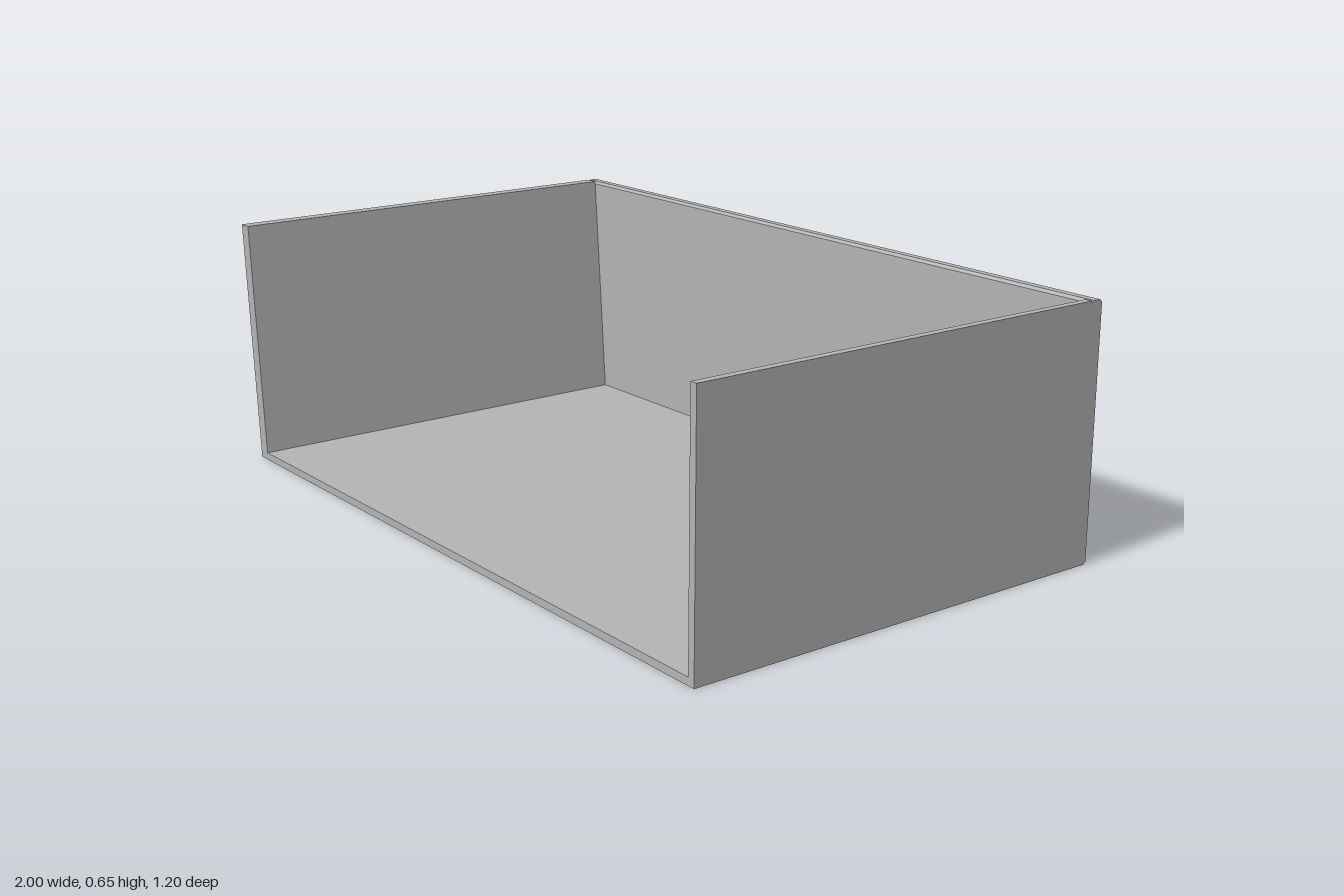
import * as THREE from 'three';

const H = 0.655, FRONT = 0.6, BACK = -0.6, BACK_T = 0.035, FLOOR_T = 0.02, BEVEL = 0.007;

// x of the leaning right wall's outer face at height y
const leanX = (y) => -0.95 - 0.05 * (y / H);

function extrude(points, depth) {
  const shape = new THREE.Shape(points.map(([x, y]) => new THREE.Vector2(x, y)));
  return new THREE.ExtrudeGeometry(shape, { depth, bevelEnabled: false });
}

export function createModel() {
  const group = new THREE.Group();
  const grey = new THREE.MeshStandardMaterial({ color: 0xb3b3b3 });
  grey.name = 'plainGrey';

  const add = (name, geometry) => {
    const mesh = new THREE.Mesh(geometry, grey);
    mesh.name = name;
    group.add(mesh);
  };

  // Panels running front to back, butted against the back wall
  const zStart = BACK + BACK_T;
  const panel = (name, points) =>
    add(name, extrude(points, FRONT - zStart).translate(0, 0, zStart));

  const t = 0.036;
  panel('rightWall', [
    [leanX(0), 0], [leanX(0) + t, 0], [leanX(H) + t, H], [leanX(H), H],
  ]);
  panel('leftWall', [[0.98, 0], [1, 0], [1, H], [0.98, H]]);
  panel('floor', [
    [leanX(0) + t, 0], [0.98, 0], [0.98, FLOOR_T], [leanX(FLOOR_T) + t, FLOOR_T],
  ]);

  // Back wall: bevelled profile extruded across, one end sheared to the lean
  const a = -BACK - BACK_T, b = -BACK, c = BEVEL;
  const back = extrude([
    [a, 0], [b - c, 0], [b, c], [b, H - c],
    [b - c, H], [a + c, H], [a, H - c],
  ], 2).rotateY(Math.PI / 2).translate(-1, 0, 0);
  const p = back.attributes.position;
  for (let i = 0; i < p.count; i++) {
    if (p.getX(i) < 0) p.setX(i, leanX(p.getY(i)));
  }
  back.computeVertexNormals();
  add('backWall', back);

  return group;
}
